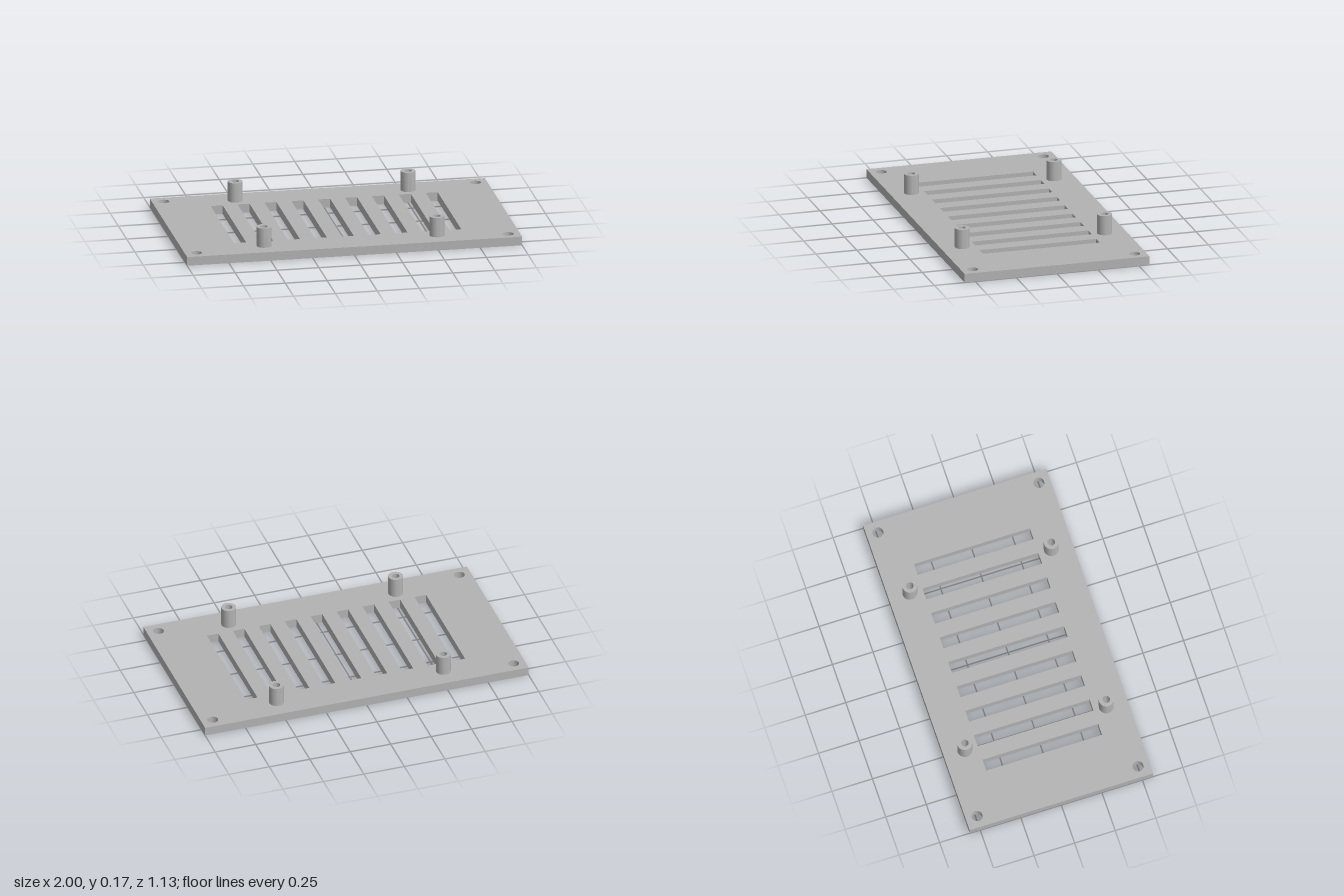
import * as THREE from 'three';
import { toCreasedNormals } from 'three/addons/utils/BufferGeometryUtils.js';

const WIDTH = 2, DEPTH = 1.13, THICK = 0.053;
const POST_TOP = 0.171, POST_R = 0.044, BORE_R = 0.022;
const SIGNS = [-1, 1];

function rectangle(target, cx, w, h) {
  target.moveTo(cx - w / 2, -h / 2);
  target.lineTo(cx + w / 2, -h / 2);
  target.lineTo(cx + w / 2, h / 2);
  target.lineTo(cx - w / 2, h / 2);
  target.closePath();
  return target;
}

export function createModel() {
  const model = new THREE.Group();
  model.name = 'ventPlate';
  const grey = new THREE.MeshStandardMaterial({ color: 0xb2b2b2 });
  grey.name = 'grey';

  // Flat plate with nine vent slots and four corner screw holes
  const outline = rectangle(new THREE.Shape(), 0, WIDTH, DEPTH);
  for (let i = -4; i <= 4; i++) {
    outline.holes.push(rectangle(new THREE.Path(), i * 0.1605, 0.071, 0.714));
  }
  for (const sx of SIGNS) for (const sz of SIGNS) {
    outline.holes.push(new THREE.Path().absarc(sx * 0.93, sz * 0.496, 0.032, 0, Math.PI * 2, true));
  }
  const plateGeometry = new THREE.ExtrudeGeometry(outline, {
    depth: THICK, bevelEnabled: false, curveSegments: 32,
  });
  plateGeometry.rotateX(-Math.PI / 2);
  const plate = new THREE.Mesh(toCreasedNormals(plateGeometry, 0.6), grey);
  plate.name = 'plate';
  model.add(plate);

  // Hollow standoffs, bored down to the plate surface
  const profile = [
    [POST_R, THICK], [POST_R, POST_TOP], [BORE_R, POST_TOP], [BORE_R, THICK],
  ].map(([r, y]) => new THREE.Vector2(r, y));
  const postGeometry = toCreasedNormals(new THREE.LatheGeometry(profile, 40), 0.6);
  for (const sx of SIGNS) for (const sz of SIGNS) {
    const post = new THREE.Mesh(postGeometry, grey);
    post.name = (sz > 0 ? 'front' : 'back') + (sx > 0 ? 'Left' : 'Right') + 'Standoff';
    post.position.set(sx * 0.516, 0, sz * 0.436);
    model.add(post);
  }
  return model;
}
